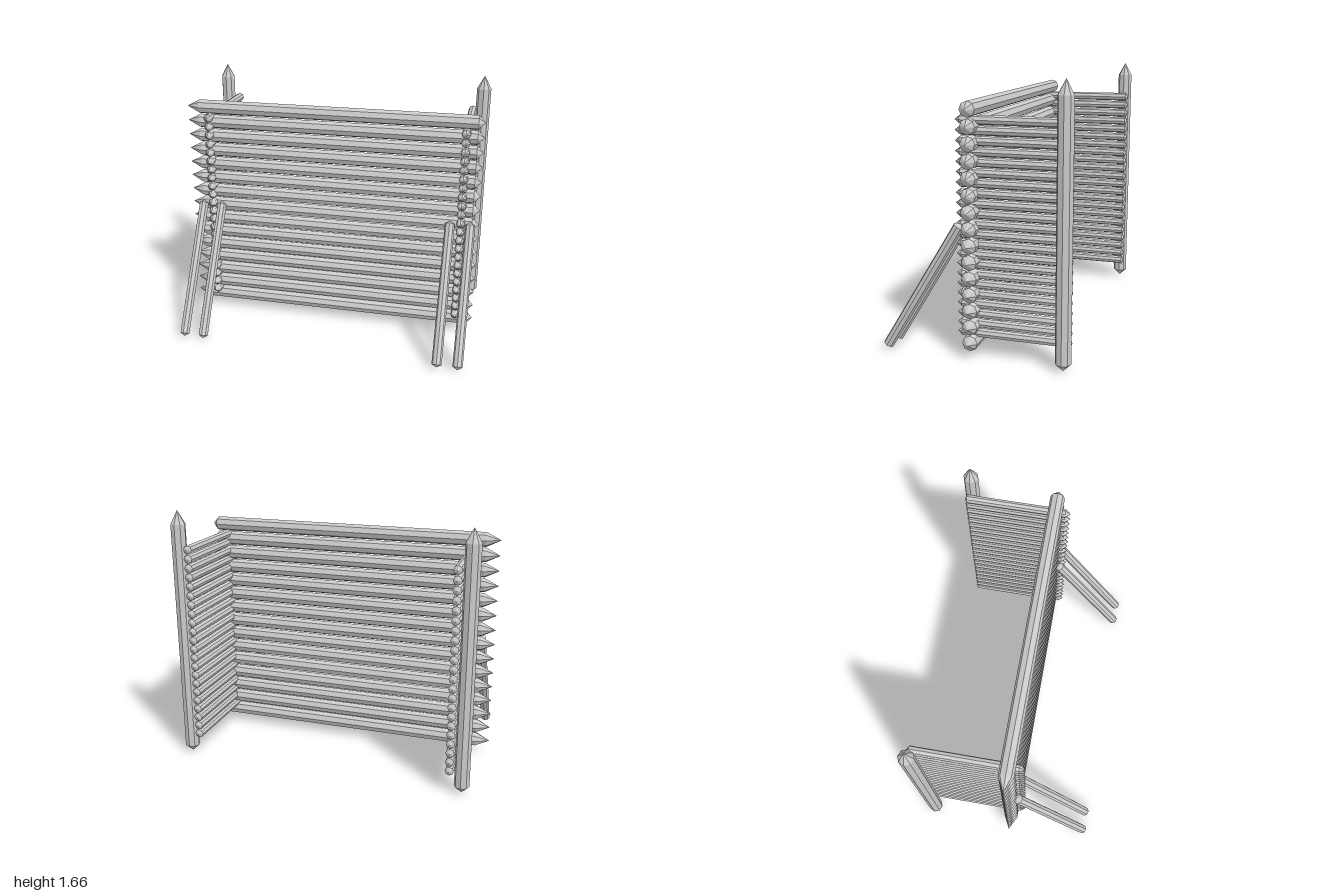
import * as THREE from 'three';

const material = new THREE.MeshStandardMaterial({ color: 0xcccccc, flatShading: true });

// Eight-sided log between two tips, with a conical point at each end
function log(name, from, to, radius, startTip, endTip) {
  const a = new THREE.Vector3(...from);
  const axis = new THREE.Vector3(...to).sub(a);
  const length = axis.length();
  const profile = [
    new THREE.Vector2(0, 0),
    new THREE.Vector2(radius, startTip),
    new THREE.Vector2(radius, length - endTip),
    new THREE.Vector2(0, length),
  ];
  const mesh = new THREE.Mesh(new THREE.LatheGeometry(profile, 8), material);
  mesh.name = name;
  mesh.position.copy(a);
  mesh.quaternion.setFromUnitVectors(new THREE.Vector3(0, 1, 0), axis.normalize());
  return mesh;
}

export function createModel() {
  const model = new THREE.Group();
  model.name = 'palisadeWall';

  // Front wall of thick horizontal logs
  const frontWall = new THREE.Group();
  frontWall.name = 'frontWall';
  for (let i = 0; i < 15; i++) {
    const y = 0.102 + i * 0.0985;
    frontWall.add(log('frontLog', [-1, y, 0.025], [0.99, y, 0.025], 0.047, 0.092, 0.042));
  }
  model.add(frontWall);

  // Side walls of thin logs that cross the front wall
  for (const [side, x] of [['right', -0.835], ['left', 0.877]]) {
    const wall = new THREE.Group();
    wall.name = side + 'Wall';
    for (let i = 0; i < 22; i++) {
      const y = 0.148 + i * 0.0604;
      wall.add(log('sideLog', [x, y, -0.578], [x, y, 0.125], 0.028, 0.015, 0.035));
    }
    model.add(wall);
  }

  // Tall pointed posts at the back corners
  model.add(log('rightPost', [-0.913, 0.005, -0.54], [-0.913, 1.662, -0.54], 0.048, 0.045, 0.088));
  model.add(log('leftPost', [0.945, 0.005, -0.54], [0.945, 1.662, -0.54], 0.048, 0.045, 0.088));

  // Slanted braces leaning on the front wall
  for (const x of [-0.899, -0.767, 0.807, 0.939]) {
    model.add(log('brace', [x, 0.018, 0.565], [x, 0.825, 0.075], 0.032, 0.018, 0.02));
  }
  return model;
}
